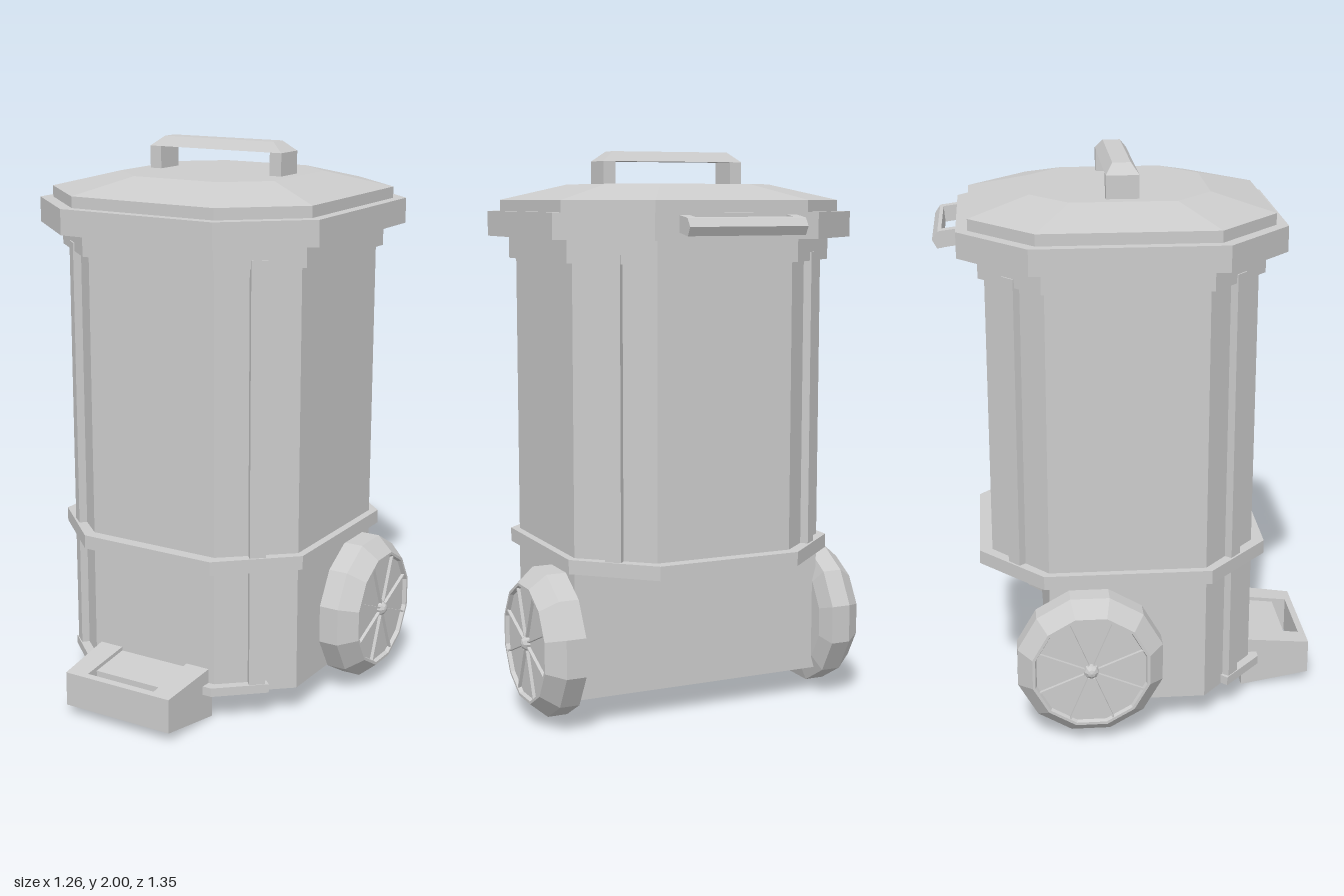
import * as THREE from 'three';

const CZ = -0.033; // centre of the bin along z
const mat = new THREE.MeshStandardMaterial({ color: 0xcccccc, flatShading: true });

export function createModel() {
  const root = new THREE.Group();

  function add(name, geometry, parent = root) {
    const mesh = new THREE.Mesh(geometry, mat);
    mesh.name = name;
    parent.add(mesh);
    return mesh;
  }

  // Horizontal slab from [x, z] outline, optionally narrowed towards the top
  function slab(points, y0, y1, taper = 1) {
    const shape = new THREE.Shape(points.map(([x, z]) => new THREE.Vector2(x, -z)));
    const g = new THREE.ExtrudeGeometry(shape, { depth: y1 - y0, bevelEnabled: false });
    g.rotateX(-Math.PI / 2).translate(0, y0, 0);
    const p = g.attributes.position;
    for (let i = 0; i < p.count; i++) {
      if (p.getY(i) > (y0 + y1) / 2) {
        p.setX(i, p.getX(i) * taper);
        p.setZ(i, CZ + (p.getZ(i) - CZ) * taper);
      }
    }
    g.computeVertexNormals();
    return g;
  }

  // Octagon with half sizes hx, hz and flat half lengths bx, bz
  function octagon(hx, hz, bx, bz) {
    return [[bx, hz], [hx, bz], [hx, -bz], [bx, -hz], [-bx, -hz], [-hx, -bz], [-hx, bz], [-bx, hz]]
      .map(([x, z]) => [x, z + CZ]);
  }

  // Side profile of [z, y] points, extruded from x0 to x1
  function sideProfile(points, x0, x1) {
    const shape = new THREE.Shape(points.map(([z, y]) => new THREE.Vector2(-z, y)));
    const g = new THREE.ExtrudeGeometry(shape, { depth: x1 - x0, bevelEnabled: false });
    return g.rotateY(Math.PI / 2).translate(x0, 0, 0);
  }

  // Body: full octagon above, back corners cut off below
  add('upperBody', slab(octagon(0.48, 0.472, 0.255, 0.277), 0.57, 1.72));
  add('lowerBody', slab([[0.255, 0.44], [0.48, 0.245], [0.48, -0.31],
    [-0.48, -0.31], [-0.48, 0.245], [-0.255, 0.44]], 0.1, 0.58));
  add('middleBand', slab(octagon(0.508, 0.518, 0.265, 0.295), 0.56, 0.61));
  add('collar', slab(octagon(0.503, 0.494, 0.265, 0.288), 1.62, 1.71));
  add('baseStrip', slab([[0.265, 0.476], [0.42, 0.338], [0.37, 0.29],
    [-0.37, 0.29], [-0.42, 0.338], [-0.265, 0.476]], 0.103, 0.135));

  // Ribs on the four chamfered corners
  for (const sx of [-1, 1]) {
    for (const sz of [-1, 1]) {
      const y0 = sz > 0 ? 0.11 : 0.58;
      const rib = add('cornerRib', new THREE.BoxGeometry(0.057, 1.65 - y0, 0.06));
      rib.position.set(sx * 0.3665, (y0 + 1.65) / 2, CZ + sz * 0.3735);
      rib.rotation.y = Math.atan2(sx * 0.195, sz * 0.225);
    }
  }

  // Lid
  const lid = new THREE.Group();
  lid.name = 'lid';
  root.add(lid);
  add('lidRim', slab(octagon(0.57, 0.563, 0.304, 0.329), 1.7, 1.79), lid);
  add('lidStep', slab(octagon(0.53, 0.523, 0.285, 0.305), 1.78, 1.83), lid);
  add('lidTop', slab(octagon(0.53, 0.523, 0.285, 0.305), 1.83, 1.885, 0.596), lid);

  // Lid handle: two posts and a bar with sloped top edges
  for (const s of [-1, 1]) {
    add('lidHandlePost', new THREE.BoxGeometry(0.046, 0.09, 0.114), lid)
      .position.set(s * 0.249, 1.92, CZ);
  }
  const bar = new THREE.BoxGeometry(0.544, 0.035, 0.114);
  const bp = bar.attributes.position;
  for (let i = 0; i < bp.count; i++) {
    if (bp.getY(i) > 0) {
      bp.setX(i, bp.getX(i) * 0.83);
      bp.setZ(i, bp.getZ(i) * 0.55);
    }
  }
  bar.computeVertexNormals();
  add('lidHandleBar', bar, lid).position.set(0, 1.9825, CZ);

  // Rear pull handle
  const grip = [[-0.645, 1.776], [-0.658, 1.773], [-0.677, 1.745], [-0.66, 1.715], [-0.64, 1.718]];
  add('rearHandleGrip', sideProfile(grip, -0.218, 0.218), lid);
  const arm = [[-0.58, 1.784], [-0.65, 1.775], [-0.65, 1.717], [-0.58, 1.727]];
  add('rearHandleArm', sideProfile(arm, 0.18, 0.217), lid);
  add('rearHandleArm', sideProfile(arm, -0.217, -0.18), lid);

  // Foot pedal: two arms, a front bar and a lower back bar, narrowing forwards
  const pedal = new THREE.Group();
  pedal.name = 'footPedal';
  root.add(pedal);
  const pedalArm = [[0.42, 0.19], [0.677, 0.16], [0.677, 0.035], [0.42, 0]];
  const pedalFront = [[0.652, 0.163], [0.677, 0.16], [0.677, 0.035], [0.652, 0.032]];
  const pedalBack = [[0.42, 0.176], [0.6, 0.155], [0.6, 0.04], [0.42, 0.04]];
  function pedalPart(name, points, x0, x1) {
    const g = sideProfile(points, x0, x1);
    const p = g.attributes.position;
    for (let i = 0; i < p.count; i++) {
      if (Math.abs(p.getX(i)) > 0.2) p.setX(i, p.getX(i) * (1 + (0.677 - p.getZ(i)) * 0.28));
    }
    g.computeVertexNormals();
    add(name, g, pedal);
  }
  pedalPart('pedalArm', pedalArm, 0.14, 0.218);
  pedalPart('pedalArm', pedalArm, -0.218, -0.14);
  pedalPart('pedalFrontBar', pedalFront, -0.15, 0.15);
  pedalPart('pedalBackBar', pedalBack, -0.15, 0.15);

  // Wheels: twelve-sided, with a dished face, thin spokes and a hub
  const wheelProfile = [[0, 0.465], [0.2, 0.465], [0.265, 0.485], [0.265, 0.557],
    [0.213, 0.618], [0.203, 0.618], [0.198, 0.604], [0, 0.604]]
    .map(([r, h]) => new THREE.Vector2(r, h));
  for (const s of [-1, 1]) {
    const wheel = new THREE.Group();
    wheel.name = s > 0 ? 'leftWheel' : 'rightWheel';
    wheel.position.set(0, 0.288, -0.172);
    wheel.rotation.z = -s * Math.PI / 2;
    root.add(wheel);
    add('tyre', new THREE.LatheGeometry(wheelProfile, 12, Math.PI / 12), wheel);
    for (let i = 0; i < 8; i++) {
      const a = i * Math.PI / 4 + Math.PI / 8;
      const spoke = add('spoke', new THREE.BoxGeometry(0.17, 0.02, 0.006), wheel);
      spoke.position.set(Math.cos(a) * 0.112, 0.606, -Math.sin(a) * 0.112);
      spoke.rotation.y = a;
    }
    add('hub', new THREE.SphereGeometry(0.028, 8, 6), wheel).position.y = 0.602;
  }

  return root;
}
